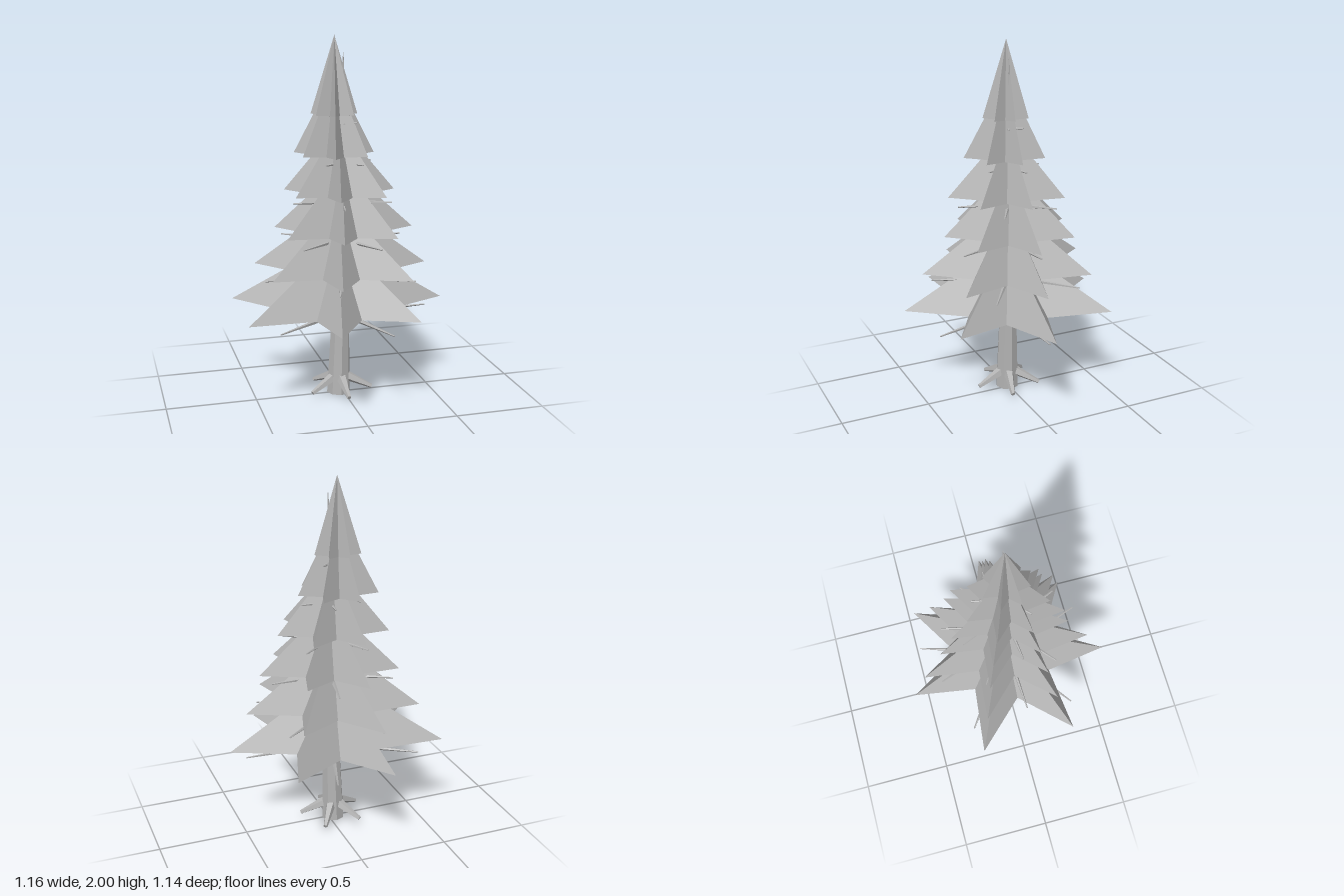
import * as THREE from 'three';

const POINTS = 7;

// Point at a given angle, radius and height; angles run from +x towards -z
function polar(cx, angle, r, y) {
  return new THREE.Vector3(cx + r * Math.cos(angle), y, -r * Math.sin(angle));
}

function flat(geometry) {
  const g = geometry.index ? geometry.toNonIndexed() : geometry;
  g.computeVertexNormals();
  return g;
}

// Tapered straight piece running from a to b
function taper(a, b, ra, rb, sides) {
  const dir = b.clone().sub(a);
  const g = new THREE.CylinderGeometry(rb, ra, dir.length(), sides);
  g.applyQuaternion(new THREE.Quaternion().setFromUnitVectors(
    new THREE.Vector3(0, 1, 0), dir.normalize()));
  g.translate((a.x + b.x) / 2, (a.y + b.y) / 2, (a.z + b.z) / 2);
  return flat(g);
}

// Star-shaped cone: tips and valleys alternate, with a shallow downward underside
function starTier(cx, y, apexY, tips, droop) {
  const ring = [];
  tips.forEach((r, i) => {
    const a = (i / POINTS) * Math.PI * 2;
    const valley = 0.24 * (r + tips[(i + 1) % POINTS]);
    ring.push(polar(cx, a, r, y));
    ring.push(polar(cx, a + Math.PI / POINTS, valley, y - droop * 0.4));
  });
  const apex = new THREE.Vector3(cx, apexY, -0.005);
  const under = new THREE.Vector3(cx, y - droop, -0.005);
  const points = [];
  ring.forEach((p, i) => {
    const q = ring[(i + 1) % ring.length];
    points.push(apex, p, q, under, q, p);
  });
  return flat(new THREE.BufferGeometry().setFromPoints(points));
}

export function createModel() {
  const tree = new THREE.Group();
  tree.name = 'pineTree';
  const grey = new THREE.MeshStandardMaterial({ color: 0xb4b4b4 });
  grey.name = 'grey';
  const add = (parent, name, geometry) => {
    const m = new THREE.Mesh(geometry, grey);
    m.name = name;
    parent.add(m);
  };
  const group = (name) => {
    const g = new THREE.Group();
    g.name = name;
    tree.add(g);
    return g;
  };

  // Trunk: slightly leaning, ending in a thin spike near the top
  const base = new THREE.Vector3(-0.027, 0, 0);
  const knee = new THREE.Vector3(-0.013, 0.5, 0);
  const spike = new THREE.Vector3(0.002, 1.91, 0);
  add(tree, 'trunk', taper(base, knee, 0.066, 0.049, 8));
  add(tree, 'upperTrunk', taper(knee, spike, 0.049, 0.002, 8));

  // Roots
  const roots = group('roots');
  for (let i = 0; i < 5; i++) {
    const a = THREE.MathUtils.degToRad(57 + 72 * i);
    add(roots, 'root', taper(polar(-0.022, a, 0.02, 0.105),
      polar(-0.022, a, 0.183, 0.03), 0.032, 0.012, 5));
  }

  // Foliage tiers: centre x, tip height, apex height, tip radii
  const foliage = group('foliage');
  const tiers = [
    [-0.026, 0.517, 0.89, [0.605, 0.595, 0.587, 0.618, 0.613, 0.583, 0.547]],
    [-0.018, 0.73, 1.10, [0.498, 0.475, 0.51, 0.49, 0.465, 0.48, 0.488]],
    [-0.004, 0.943, 1.31, [0.404, 0.37, 0.39, 0.385, 0.38, 0.36, 0.37]],
    [-0.022, 1.16, 1.53, [0.314, 0.32, 0.318, 0.309, 0.3, 0.328, 0.315]],
    [-0.046, 1.37, 1.80, [0.22, 0.22, 0.225, 0.227, 0.22, 0.23, 0.22]],
    [-0.046, 1.583, 2.0, [0.126, 0.128, 0.13, 0.132, 0.13, 0.125, 0.128]],
  ];
  tiers.forEach(([cx, y, apexY, tips], k) => {
    add(foliage, 'foliageTier', starTier(cx, y, apexY, tips, 0.04 - 0.005 * k));
  });

  // Thin bare branches beneath each tier
  const branches = group('branches');
  const lengths = [0.503, 0.43, 0.35, 0.28, 0.17, 0.08];
  lengths.forEach((len, k) => {
    const y = 0.47 + 0.2125 * k;
    const cx = -0.015 + 0.0025 * k;
    for (let i = 0; i < 5; i++) {
      const a = THREE.MathUtils.degToRad(1 + 38 * k + 72 * i);
      add(branches, 'branch', taper(polar(cx, a, 0.005, y - 0.003),
        polar(cx, a, len, y + 0.003), 0.018 - 0.0015 * k, 0.004, 5));
    }
  });

  return tree;
}
